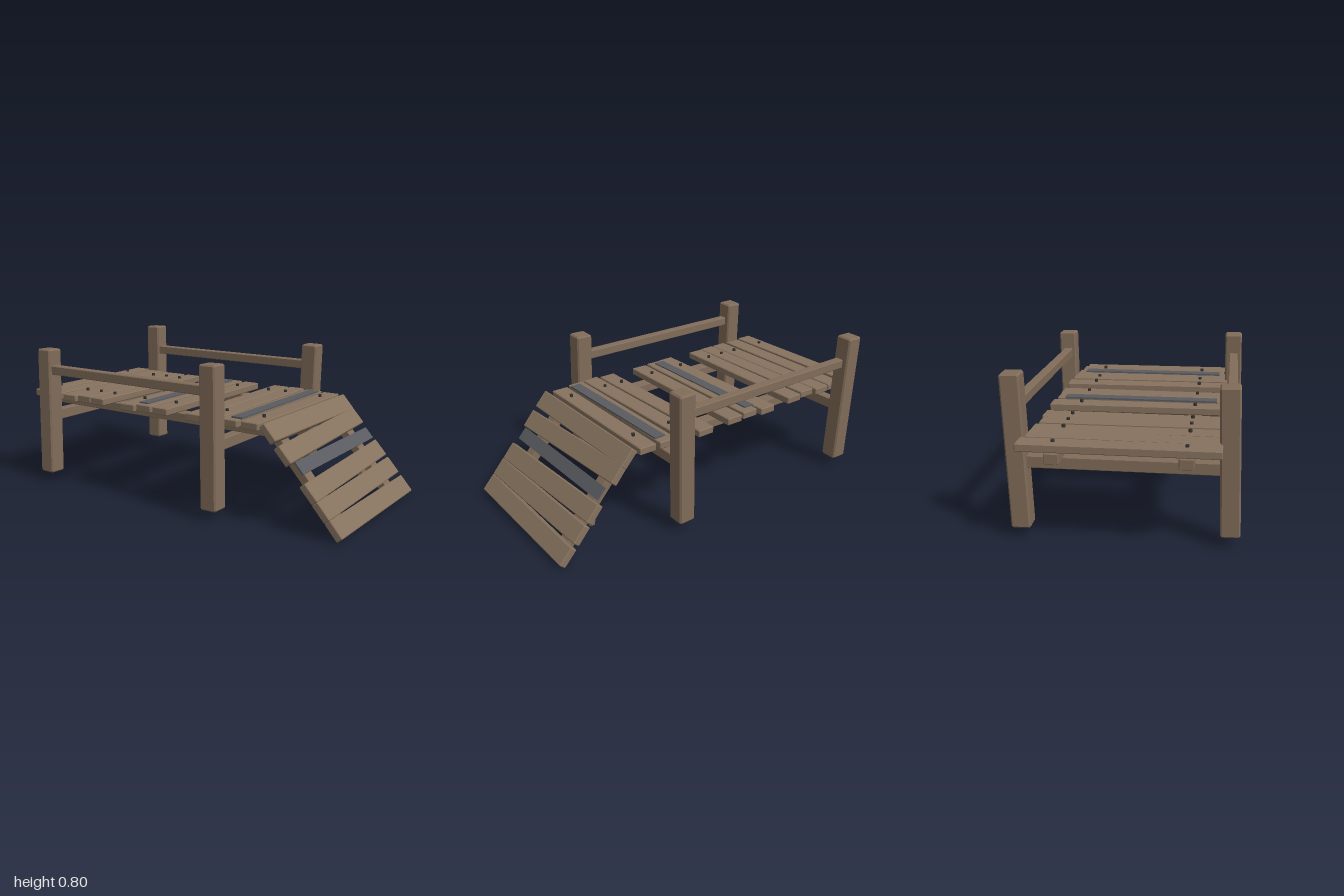
import * as THREE from 'three';

const material = (name, color) => {
  const m = new THREE.MeshStandardMaterial({ color });
  m.name = name;
  return m;
};

// Box with chamfered edges, centred; w, h, l along x, y, z
function chamferBox(w, h, l, c) {
  const x = w / 2 - c, y = h / 2 - c, k = c * 0.4;
  const s = new THREE.Shape();
  s.moveTo(-x + k, -y);
  [[x - k, -y], [x, -y + k], [x, y - k], [x - k, y], [-x + k, y], [-x, y - k], [-x, -y + k]]
    .forEach((p) => s.lineTo(p[0], p[1]));
  s.closePath();
  const g = new THREE.ExtrudeGeometry(s, {
    depth: l - 2 * c, bevelEnabled: true, bevelThickness: c, bevelSize: c, bevelSegments: 1,
  });
  return g.translate(0, 0, -(l - 2 * c) / 2);
}

export function createModel() {
  const model = new THREE.Group();
  model.name = 'woodenDock';
  const plankWood = material('plank wood', 0x86725e);
  const beamWood = material('beam wood', 0x816c59);
  const slate = material('grey strip', 0x595b60);
  const iron = material('nail iron', 0x35332f);

  function add(parent, name, geometry, mat, x, y, z) {
    const mesh = new THREE.Mesh(geometry, mat);
    mesh.name = name;
    mesh.position.set(x, y, z);
    parent.add(mesh);
    return mesh;
  }

  // Slightly leaning corner posts: bottom centre, top centre
  const up = new THREE.Vector3(0, 1, 0);
  [
    [[-0.838, 0.058, 0.5], [-0.838, 0.77, 0.48]],
    [[0.303, 0.058, 0.502], [0.287, 0.787, 0.487]],
    [[-0.845, 0.058, -0.482], [-0.857, 0.808, -0.503]],
    [[0.305, 0.058, -0.483], [0.318, 0.775, -0.495]],
  ].forEach(([b, t]) => {
    const low = new THREE.Vector3(...b), high = new THREE.Vector3(...t);
    const axis = high.clone().sub(low);
    const mid = low.clone().add(high).multiplyScalar(0.5);
    const post = add(model, 'post', chamferBox(0.094, axis.length(), 0.094, 0.008), beamWood, mid.x, mid.y, mid.z);
    post.quaternion.setFromUnitVectors(up, axis.normalize());
  });

  // Handrails, deck stringers and cross beams
  for (const side of [1, -1]) {
    add(model, 'handrail', chamferBox(1.09, 0.05, 0.048, 0.004), beamWood, -0.27, 0.655, 0.49 * side);
    add(model, 'deckStringer', chamferBox(1.54, 0.05, 0.068, 0.003), beamWood, -0.225, 0.45, 0.3 * side);
  }
  for (const x of [-0.842, 0.305]) {
    add(model, 'crossBeam', chamferBox(0.055, 0.058, 0.95, 0.003), beamWood, x, 0.385, 0);
  }

  // Deck planks: x, back z, front z, yaw, nailed
  [
    [-0.948, -0.465, 0.455, 0.0, 1],
    [-0.835, -0.45, 0.45, -0.01, 0],
    [-0.727, -0.45, 0.455, 0.006, 1],
    [-0.62, -0.435, 0.447, 0.006, 1],
    [-0.516, -0.447, 0.445, -0.012, 1],
    [-0.293, -0.46, 0.457, 0.008, 1],
    [-0.185, -0.445, 0.443, -0.008, 0],
    [-0.075, -0.45, 0.44, -0.012, 1],
    [0.14, -0.46, 0.45, 0.014, 1],
    [0.253, -0.45, 0.457, 0.01, 1],
    [0.362, -0.447, 0.45, -0.008, 0],
    [0.474, -0.437, 0.437, -0.01, 1],
  ].forEach(([x, z0, z1, yaw, nailed], i) => {
    const drop = (i % 3) * 0.002;
    const plank = add(model, 'deckPlank', chamferBox(0.096, 0.038, z1 - z0, 0.004), plankWood,
      x, 0.498 - drop, (z0 + z1) / 2);
    plank.rotation.y = yaw;
    if (!nailed) return;
    for (const z of [0.3, -0.3]) {
      add(model, 'nail', new THREE.CylinderGeometry(0.009, 0.009, 0.02, 8), iron, x, 0.518, z);
    }
  });

  // Grey strips lying on the deck
  for (const x of [-0.21, 0.383]) {
    add(model, 'deckStrip', new THREE.BoxGeometry(0.06, 0.009, 0.81), slate, x, 0.519, 0.005);
  }

  // Sloping ramp: local x runs down the slope, local y = 0 is its top surface
  const ramp = new THREE.Group();
  ramp.name = 'ramp';
  ramp.position.set(0.56, 0.52, 0);
  ramp.rotation.z = -0.849;
  model.add(ramp);
  [[0.05, -0.005], [0.16, 0.035], [0.376, 0.03], [0.485, 0.012], [0.597, -0.012]].forEach(([s, yaw]) => {
    const plank = add(ramp, 'rampPlank', chamferBox(0.102, 0.038, 0.87, 0.004), plankWood, s, -0.019, 0.012);
    plank.rotation.y = yaw;
  });
  add(ramp, 'rampStrip', new THREE.BoxGeometry(0.07, 0.009, 0.815), slate, 0.263, -0.002, 0.006);
  for (const side of [1, -1]) {
    add(ramp, 'rampStringer', chamferBox(0.57, 0.046, 0.07, 0.003), beamWood, 0.3, -0.062, 0.305 * side);
  }

  // Loose peg hanging under the ramp
  const peg = add(model, 'rampPeg', chamferBox(0.03, 0.13, 0.055, 0.003), beamWood, 0.735, 0.172, -0.3);
  peg.rotation.z = 0.2;

  return model;
}
